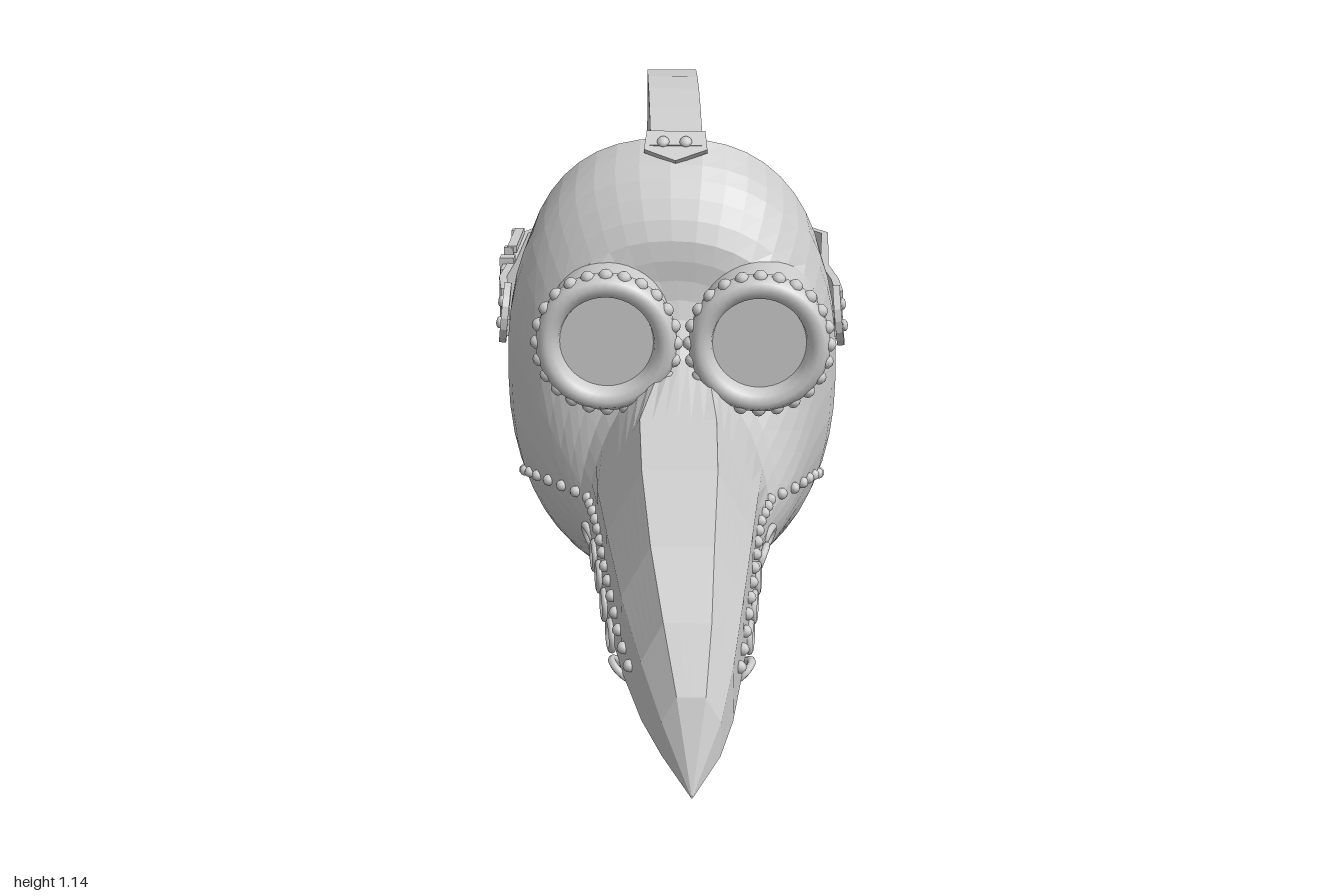
import * as THREE from 'three';

const V = (x, y, z) => new THREE.Vector3(x, y, z);
const flat = new THREE.MeshStandardMaterial({ color: 0xcccccc, flatShading: true, side: THREE.DoubleSide });
const smooth = new THREE.MeshStandardMaterial({ color: 0xcccccc, side: THREE.DoubleSide });

function add(parent, name, geometry, material = smooth) {
  const mesh = new THREE.Mesh(geometry, material);
  mesh.name = name;
  parent.add(mesh);
  return mesh;
}

// Cross-sections from the open rim to the beak tip:
// centre x, half width, widest y, top y, bottom y, z at top / side / bottom, roundness of the top
const SECTIONS = [
  [0.01, 0.367, 0.48, 1.06, 0.005, -0.2, -0.42, -0.3, 0.82],
  [0.01, 0.377, 0.5, 0.99, 0.003, -0.11, -0.22, -0.2, 0.84],
  [0.015, 0.325, 0.46, 0.87, 0.03, -0.035, -0.07, -0.1, 0.9],
  [0.03, 0.262, 0.36, 0.74, 0.08, -0.02, 0.03, 0, 1.05],
  [0.035, 0.2, 0.3, 0.63, 0.125, 0.06, 0.14, 0.14, 1.2],
  [0.037, 0.182, 0.27, 0.6, 0.13, 0.3, 0.3, 0.3, 0.85],
  [0.045, 0.158, 0.26, 0.56, 0.125, 0.5, 0.5, 0.5, 0.75],
  [0.055, 0.128, 0.24, 0.475, 0.12, 0.7, 0.7, 0.7, 0.75],
  [0.068, 0.095, 0.2, 0.38, 0.11, 0.85, 0.85, 0.85, 0.75],
  [0.077, 0.06, 0.15, 0.26, 0.1, 0.93, 0.93, 0.93, 0.8],
  [0.08, 0.002, 0.08, 0.083, 0.077, 1, 1, 1, 1],
];
const COLS = 48;
const EYES = [V(-0.122, 0.685, 0), V(0.207, 0.685, 0)];
const HOLE = 0.128;
const power = (v, e) => Math.sign(v) * Math.abs(v) ** e;

function sectionPoint(k, c, inset) {
  const [cx, hw, mid, top, bottom, zt, zs, zb, round] = SECTIONS[k];
  const a = (c / COLS) * Math.PI * 2, co = Math.cos(a), up = co > 0;
  const e = up ? round : 0.9;
  const reach = Math.max((up ? top - mid : mid - bottom) - inset, 0);
  const z = zs + ((up ? zt : zb) - zs) * Math.abs(co) ** (up ? 1.2 : 2) - (k ? inset : 0);
  return V(cx + Math.max(hw - inset, 0.001) * power(Math.sin(a), e), mid + reach * power(co, e), z);
}

// Skin points: fine rows on the face; the beak has one row per section and eight flat sides
function skinRows(inset) {
  const steps = [];
  for (let i = 0; i < 12; i++) steps.push(i / 3);
  for (let i = 4; i < SECTIONS.length; i++) steps.push(i);
  const rows = steps.map(() => []);
  for (let c = 0; c < COLS; c++) {
    const corner = Math.floor((c + 3) / 6) * 6 - 3;
    const column = SECTIONS.map((_, k) => k < 5 ? sectionPoint(k, c, inset)
      : sectionPoint(k, corner, inset).lerp(sectionPoint(k, corner + 6, inset), (c - corner) / 6));
    const curve = new THREE.CatmullRomCurve3(column, false, 'catmullrom', 0.5);
    steps.forEach((s, r) => rows[r].push(curve.getPoint(s / (SECTIONS.length - 1))));
  }
  return rows;
}

// Skin the rows; with cut = true the eye holes are opened and trimmed to circles
function skin(rows, cut, flip) {
  const points = rows.flat().map((p) => p.clone());
  const inside = points.map((p) => {
    if (!cut || p.z > 0.1) return false;
    const eye = EYES.find((e) => Math.hypot(p.x - e.x, p.y - e.y) < HOLE);
    if (!eye) return false;
    const d = V(p.x - eye.x, p.y - eye.y, 0).setLength(HOLE);
    p.set(eye.x + d.x, eye.y + d.y, p.z);
    return true;
  });
  const index = [];
  const tri = (a, b, c) => {
    if (inside[a] && inside[b] && inside[c]) return;
    index.push(...(flip ? [a, c, b] : [a, b, c]));
  };
  for (let r = 0; r < rows.length - 1; r++) for (let c = 0; c < COLS; c++) {
    const a = r * COLS + c, b = r * COLS + ((c + 1) % COLS);
    tri(a, a + COLS, b);
    tri(b, a + COLS, b + COLS);
  }
  const geometry = new THREE.BufferGeometry().setFromPoints(points);
  geometry.setIndex(index);
  geometry.computeVertexNormals();
  return geometry;
}

// Flat band along a path; wide is the direction of its width
function ribbon(path, wide, width, thick) {
  const rows = path.map((p, i) => {
    const t = path[Math.min(i + 1, path.length - 1)].clone().sub(path[Math.max(i - 1, 0)]).normalize();
    const n = t.cross(wide).normalize();
    return [[1, 1], [1, -1], [-1, -1], [-1, 1]].map(([w, h]) =>
      p.clone().addScaledVector(wide, (w * width) / 2).addScaledVector(n, (h * thick) / 2));
  });
  const index = [];
  for (let r = 0; r < rows.length - 1; r++) for (let c = 0; c < 4; c++) {
    const a = r * 4 + c, b = r * 4 + ((c + 1) % 4);
    index.push(a, b, a + 4, b, b + 4, a + 4);
  }
  const m = (rows.length - 1) * 4;
  index.push(0, 2, 1, 0, 3, 2, m, m + 1, m + 2, m, m + 2, m + 3);
  const geometry = new THREE.BufferGeometry().setFromPoints(rows.flat());
  geometry.setIndex(index);
  geometry.computeVertexNormals();
  return geometry;
}

export function createModel() {
  const model = new THREE.Group();
  model.name = 'beakedMask';

  // Mask skin: outer, inner and the edge joining them at the open back
  const outer = skinRows(0), inner = skinRows(0.015);
  const mask = new THREE.Group();
  mask.name = 'mask';
  model.add(mask);
  add(mask, 'outerSkin', skin(outer, true, false), flat);
  add(mask, 'innerSkin', skin(inner, true, true), flat);
  add(mask, 'backEdge', skin([inner[0], outer[0]], false, false), flat);

  // Finds points on the uncut skin for seating the fittings
  const solid = new THREE.Mesh(skin(outer, false, false), flat);
  const cast = (from, dir) => new THREE.Raycaster(from, dir).intersectObject(solid)[0];
  function seat(mesh, side, y, z, lift = 0) {
    const hit = cast(V(side * 2, y, z), V(-side, 0, 0));
    const normal = hit ? hit.face.normal.clone() : V(side, 0, 0);
    if (normal.x * side < 0) normal.negate();
    mesh.position.copy(hit ? hit.point : V(side * 0.36, y, z)).addScaledVector(normal, lift);
    mesh.quaternion.setFromUnitVectors(V(0, 0, 1), normal);
    return mesh;
  }

  // Goggles
  const rimProfile = [[0.1, 0.1], [0.104, 0.122], [0.113, 0.136], [0.128, 0.142], [0.142, 0.137],
    [0.152, 0.12], [0.152, 0.095], [0.145, 0.083], [0.125, 0.083], [0.1, 0.1]].map(([r, h]) => new THREE.Vector2(r, h));
  const bead = new THREE.SphereGeometry(0.013, 8, 6);
  const rimBead = new THREE.SphereGeometry(0.016, 8, 6);
  for (const eye of EYES) {
    const goggle = new THREE.Group();
    goggle.name = eye.x > 0 ? 'leftGoggle' : 'rightGoggle';
    goggle.position.copy(eye);
    model.add(goggle);
    for (const r of [0.136, 0.126]) {
      const barrel = new THREE.CylinderGeometry(r, r, 1, 40, 1, true).rotateX(Math.PI / 2);
      const pos = barrel.attributes.position;
      for (let i = 0; i < pos.count; i++) {
        if (pos.getZ(i) > 0) { pos.setZ(i, 0.09); continue; }
        const hit = cast(V(eye.x + pos.getX(i), eye.y + pos.getY(i), 2), V(0, 0, -1));
        pos.setZ(i, THREE.MathUtils.clamp((hit ? hit.point.z : -0.2) - 0.045, -0.25, -0.04));
      }
      barrel.computeVertexNormals();
      add(goggle, 'barrel', barrel);
    }
    add(goggle, 'rim', new THREE.LatheGeometry(rimProfile, 40).rotateX(Math.PI / 2));
    add(goggle, 'lens', new THREE.CircleGeometry(0.104, 40)).position.z = 0.106;
    for (let i = 0; i < 24; i++) {
      const a = (i / 24) * Math.PI * 2;
      add(goggle, 'rimStud', rimBead).position.set(Math.cos(a) * 0.149, Math.sin(a) * 0.149, 0.113);
    }
  }

  // Studded seams and eyelets along both cheeks
  const seam = new THREE.CatmullRomCurve3([[-0.3, 0.23], [-0.1, 0.3], [0.1, 0.33], [0.33, 0.345], [0.55, 0.31], [0.77, 0.24]]
    .map(([z, y]) => V(0, y, z))).getSpacedPoints(22);
  const eyelets = [[0.67, 0.185], [0.56, 0.205], [0.455, 0.225], [0.345, 0.24], [0.245, 0.245], [0.14, 0.245]];
  const eyelet = new THREE.TorusGeometry(0.029, 0.008, 8, 18);
  const rivet = new THREE.SphereGeometry(0.014, 10, 6).scale(1, 1, 0.6);
  const plate = new THREE.CylinderGeometry(0.07, 0.07, 0.016, 16).rotateX(Math.PI / 2);
  const anchors = {};
  for (const side of [1, -1]) {
    for (const p of seam) seat(add(model, 'seamStud', bead), side, p.y, p.z, 0.003);
    for (const [z, y] of eyelets) seat(add(model, 'eyelet', eyelet), side, y, z, 0.003);
    anchors[side] = seat(add(model, 'strapPlate', plate, flat), side, 0.64, -0.23, 0.012).position;
    for (const y of [0.615, 0.665]) seat(add(model, 'plateRivet', rivet), side, y, -0.23, 0.023);
  }

  // Head strap around the back
  const around = [[0.385, -0.33], [0.365, -0.45], [0.375, -0.72], [0.16, -0.98], [-0.19, -0.967], [-0.365, -0.7], [-0.375, -0.45], [-0.385, -0.33]]
    .map(([x, z]) => V(x, 0.64, z));
  add(model, 'headStrap', ribbon([anchors[1], ...around, anchors[-1]], V(0, 1, 0), 0.115, 0.018), flat);

  // Crown strap over the top, with its pointed front tab
  const over = [[0.02, 1.045, -0.165], [0.02, 1.065, -0.21], [0.015, 1.1, -0.3], [0.01, 1.122, -0.39], [0.005, 1.129, -0.48], [0, 1.12, -0.6],
    [-0.005, 1.086, -0.73], [-0.01, 0.982, -0.875], [-0.015, 0.83, -0.945], [-0.02, 0.69, -0.978], [-0.02, 0.58, -0.99]].map((p) => V(...p));
  add(model, 'crownStrap', ribbon(over, V(1, 0, 0), 0.115, 0.018), flat);
  const tabShape = new THREE.Shape([[-0.065, 0.045], [0.065, 0.045], [0.07, -0.005], [0, -0.035], [-0.07, -0.005]].map((p) => new THREE.Vector2(...p)));
  const tab = add(model, 'crownTab', new THREE.ExtrudeGeometry(tabShape, { depth: 0.014, bevelEnabled: false }), flat);
  tab.position.set(0.02, 1.038, -0.168);
  tab.rotation.x = -0.85;
  for (const x of [-0.008, 0.042]) {
    const top = add(model, 'crownRivet', rivet);
    top.position.set(x, 1.059, -0.17);
    top.rotation.x = -0.85;
    add(model, 'backRivet', rivet).position.set(x - 0.037, 0.64, -0.991);
  }

  // Buckle on the right side of the head strap
  const buckle = new THREE.Group();
  buckle.name = 'buckle';
  buckle.position.set(-0.377, 0.645, -0.59);
  buckle.rotation.y = -Math.PI / 2 - 0.03;
  model.add(buckle);
  const box = (name, w, h, d, x, y, z) => add(buckle, name, new THREE.BoxGeometry(w, h, d), flat).position.set(x, y, z);
  for (const s of [1, -1]) {
    box('buckleBar', 0.16, 0.016, 0.022, 0, s * 0.065, 0);
    box('buckleEnd', 0.018, 0.14, 0.022, s * 0.075, 0, 0.008);
  }
  box('prong', 0.15, 0.016, 0.014, 0, 0, 0.02);
  box('strapTail', 0.2, 0.1, 0.012, 0.1, 0, 0.008);
  box('keeper', 0.03, 0.13, 0.034, 0.14, 0, 0.004);

  return model;
}
